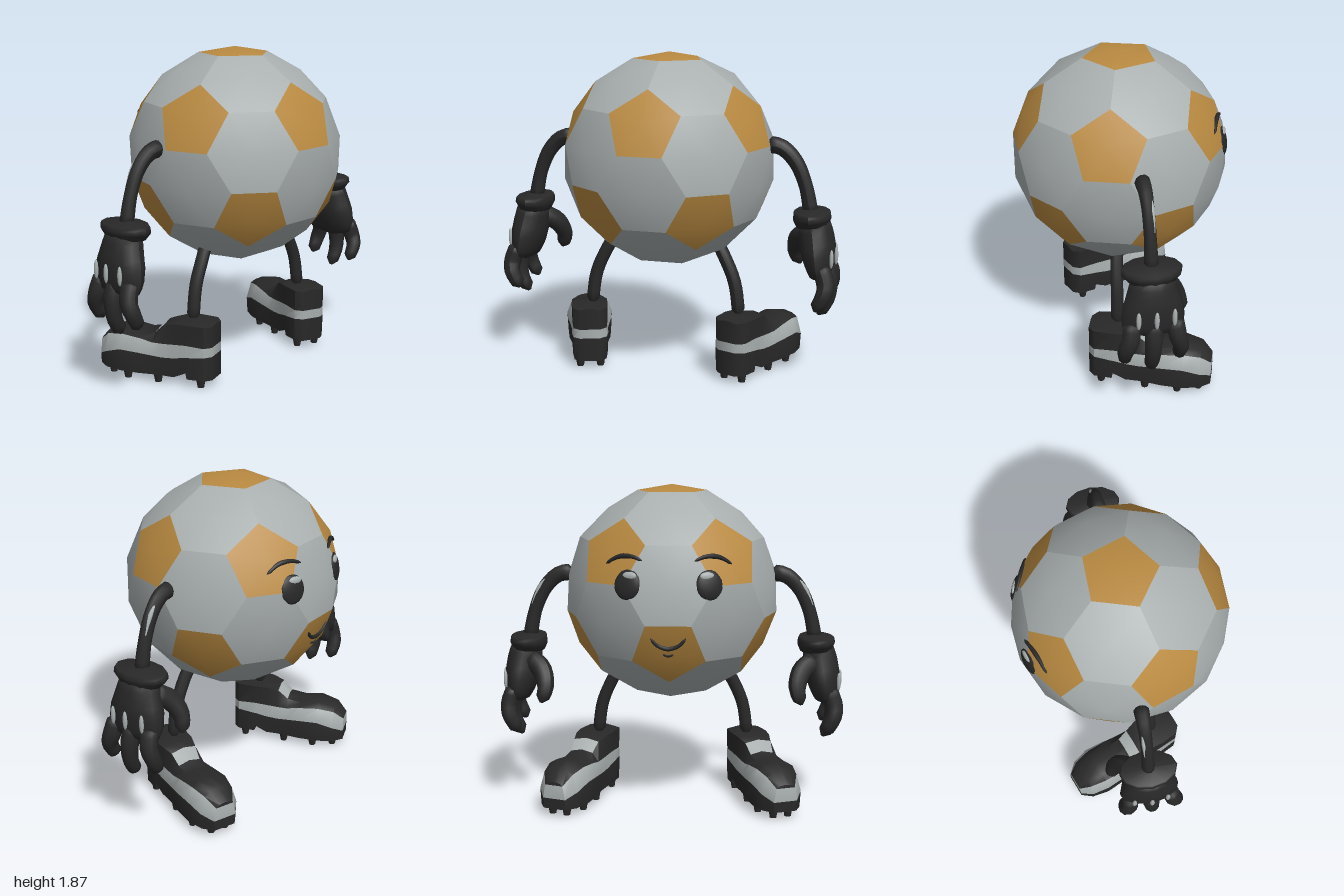
import * as THREE from 'three';
import { mergeGeometries, toCreasedNormals } from 'three/addons/utils/BufferGeometryUtils.js';

const V = (x, y, z) => new THREE.Vector3(x, y, z);
const R = 0.618, CENTRE = V(0, 1.25, 0);

function material(name, color) {
  const m = new THREE.MeshStandardMaterial({ color });
  m.name = name;
  return m;
}

function add(parent, name, geometry, mat) {
  const mesh = new THREE.Mesh(geometry, mat);
  mesh.name = name;
  parent.add(mesh);
  return mesh;
}

// Closed tube along points; radii are [in-plane, z] pairs spread evenly along it
function limb(points, radii, segments = 12, sides = 10) {
  const curve = new THREE.CatmullRomCurve3(points);
  const geo = new THREE.TubeGeometry(curve, segments, 1, sides);
  const pos = geo.attributes.position;
  for (let i = 0; i <= segments; i++) {
    const c = curve.getPointAt(i / segments);
    const f = (i / segments) * (radii.length - 1);
    const k = Math.min(Math.floor(f), radii.length - 2);
    const end = i === 0 || i === segments ? 0.25 : 1;
    const [rx, rz] = [0, 1].map((a) => end * THREE.MathUtils.lerp(radii[k][a], radii[k + 1][a], f - k));
    for (let j = 0; j <= sides; j++) {
      const n = i * (sides + 1) + j;
      pos.setXYZ(n, c.x + (pos.getX(n) - c.x) * rx, c.y + (pos.getY(n) - c.y) * rx, c.z + (pos.getZ(n) - c.z) * rz);
    }
  }
  // Close both ends with fans
  const index = Array.from(geo.index.array);
  const last = segments * (sides + 1);
  for (let j = 1; j < sides - 1; j++) {
    index.push(0, j, j + 1, last, last + j + 1, last + j);
  }
  geo.setIndex(index);
  geo.computeVertexNormals();
  return geo;
}

// One ball panel: a shallow fan with its middle on the sphere
function panel(middle, corners) {
  const n = middle.clone().normalize();
  const u = corners[0].clone().projectOnPlane(n).normalize();
  const w = n.clone().cross(u);
  const ring = corners.map((p) => p.clone().normalize())
    .sort((a, b) => Math.atan2(a.dot(w), a.dot(u)) - Math.atan2(b.dot(w), b.dot(u)));
  const geo = new THREE.BufferGeometry().setFromPoints(
    [n, ...ring].map((p) => p.clone().multiplyScalar(R).add(CENTRE)));
  geo.setIndex(ring.flatMap((_, i) => [0, i + 1, ((i + 1) % ring.length) + 1]));
  geo.computeVertexNormals();
  return geo;
}

function buildBall(root, grey, gold) {
  const v = [V(0, 1, 0), V(0, -1, 0)];
  for (let k = 0; k < 5; k++) {
    for (const [offset, y] of [[0, 1], [0.5, -1]]) {
      const a = ((k + offset) * Math.PI * 2) / 5;
      v.push(V(Math.sin(a) * 2, y, Math.cos(a) * 2).divideScalar(Math.sqrt(5)));
    }
  }
  const near = (a, b) => a !== b && a.dot(b) > 0.4;
  const third = (a, b) => a.clone().lerp(b, 1 / 3);
  const pentagons = v.map((a) => panel(a, v.filter((b) => near(a, b)).map((b) => third(a, b))));
  const hexagons = [];
  for (let i = 0; i < 12; i++) for (let j = i + 1; j < 12; j++) for (let k = j + 1; k < 12; k++) {
    const [a, b, c] = [v[i], v[j], v[k]];
    if (near(a, b) && near(b, c) && near(a, c)) {
      hexagons.push(panel(a.clone().add(b).add(c),
        [third(a, b), third(b, a), third(b, c), third(c, b), third(c, a), third(a, c)]));
    }
  }
  add(root, 'ballPentagons', mergeGeometries(pentagons), gold);
  add(root, 'ballHexagons', mergeGeometries(hexagons), grey);
}

// Point on the face side of the ball
const onFace = (x, y, r = 0.612) => V(x, y, -Math.sqrt(r * r - x * x - (y - 1.25) ** 2));

function buildFace(root, black, grey) {
  const line = (name, pts, r) => add(root, name,
    limb(pts.map(([x, y]) => onFace(x, y)), [[r * 0.6, r * 0.6], [r, r], [r * 0.6, r * 0.6]], 12, 8), black);
  for (const s of [1, -1]) {
    const eye = new THREE.Group();
    eye.name = s > 0 ? 'leftEye' : 'rightEye';
    eye.position.copy(onFace(s * 0.22, 1.36, 0.595));
    eye.lookAt(eye.position.clone().multiplyScalar(2).sub(CENTRE));
    add(eye, 'eyeball', new THREE.SphereGeometry(1, 20, 12).scale(0.078, 0.083, 0.026), black);
    add(eye, 'eyeHighlight', new THREE.SphereGeometry(1, 14, 8).scale(0.042, 0.022, 0.012), grey)
      .position.set(s * 0.015, 0.048, 0.014);
    root.add(eye);
    line('eyebrow', [[s * 0.14, 1.49], [s * 0.2, 1.51], [s * 0.27, 1.505], [s * 0.34, 1.465]], 0.014);
  }
  line('smile', [[-0.095, 1.075], [-0.06, 1.035], [0, 1.015], [0.06, 1.035], [0.095, 1.075]], 0.013);
  line('chinLine', [[-0.028, 0.982], [0, 0.975], [0.028, 0.982]], 0.01);
}

function buildArm(root, s, black, grey) {
  const arm = new THREE.Group();
  arm.name = s > 0 ? 'leftArm' : 'rightArm';
  const path = [[0.57, 1.36], [0.66, 1.345], [0.74, 1.27], [0.8, 1.14], [0.84, 0.96]];
  add(arm, 'sleeve', limb(path.map(([x, y]) => V(s * x, y, 0)),
    [[0.05, 0.045], [0.045, 0.035], [0.04, 0.034], [0.044, 0.04]], 16), black);
  add(arm, 'armStripe', limb(path.slice(1, 4).map(([x, y]) => V(s * (x + 0.022), y + 0.014, -0.016)),
    [[0.008, 0.008], [0.015, 0.014], [0.008, 0.008]]), grey);
  add(arm, 'gloveCuff', limb([V(s * 0.845, 1, 0), V(s * 0.845, 0.95, 0), V(s * 0.85, 0.895, 0)],
    [[0.095, 0.15], [0.107, 0.165], [0.11, 0.165], [0.1, 0.14], [0.09, 0.12]], 8, 12), black);
  add(arm, 'glovePalm', limb([V(s * 0.85, 0.95, 0), V(s * 0.87, 0.85, 0), V(s * 0.893, 0.7, 0), V(s * 0.91, 0.59, 0)],
    [[0.085, 0.11], [0.1, 0.135], [0.102, 0.165], [0.085, 0.175], [0.05, 0.14]], 10, 14), black);
  for (const [z0, z1, tip] of [[0.115, 0.155, 0.44], [0, 0.01, 0.38], [-0.11, -0.145, 0.435]]) {
    add(arm, 'finger', limb(
      [V(s * 0.915, 0.7, z0), V(s * 0.95, 0.59, (z0 + z1) / 2), V(s * 0.945, tip + 0.1, z1), V(s * 0.895, tip, z1)],
      [[0.05, 0.05], [0.052, 0.05], [0.046, 0.044], [0.038, 0.034]], 10), black);
  }
  add(arm, 'thumb', limb(
    [V(s * 0.84, 0.86, -0.06), V(s * 0.755, 0.8, -0.12), V(s * 0.727, 0.71, -0.175), V(s * 0.752, 0.62, -0.2)],
    [[0.06, 0.06], [0.06, 0.055], [0.052, 0.046], [0.036, 0.034]], 10), black);
  for (const z of [0.095, 0, -0.1]) {
    add(arm, 'gloveMark', new THREE.SphereGeometry(1, 10, 8).scale(0.012, 0.055, 0.014), grey)
      .position.set(s * (0.988 - z * z * 1.6), 0.735, z);
  }
  root.add(arm);
}

// Boot shell: cross-sections from heel to toe
// [s, bottom, sole half-width, stripe low, upper half-width, stripe high, top half-width, shoulder, top]
const BOOT = [
  [0.15, 0.05, 0.06, 0.19, 0.06, 0.245, 0.06, 0.365, 0.375],
  [0.115, 0.05, 0.1, 0.19, 0.098, 0.245, 0.1, 0.37, 0.38],
  [0.012, 0.05, 0.11, 0.18, 0.105, 0.25, 0.108, 0.37, 0.38],
  [0.004, 0.085, 0.11, 0.18, 0.105, 0.25, 0.108, 0.37, 0.38],
  [-0.07, 0.05, 0.11, 0.165, 0.105, 0.245, 0.1, 0.365, 0.375],
  [-0.14, 0.05, 0.112, 0.16, 0.105, 0.24, 0.08, 0.345, 0.36],
  [-0.2, 0.05, 0.12, 0.165, 0.108, 0.24, 0.07, 0.29, 0.305],
  [-0.28, 0.05, 0.135, 0.175, 0.112, 0.255, 0.07, 0.275, 0.285],
  [-0.4, 0.05, 0.142, 0.18, 0.11, 0.265, 0.07, 0.29, 0.3],
  [-0.5, 0.05, 0.12, 0.145, 0.09, 0.245, 0.055, 0.265, 0.275],
  [-0.56, 0.05, 0.07, 0.11, 0.055, 0.19, 0.035, 0.205, 0.21],
];

function bootGeometry() {
  const pts = [], tris = [[], []];
  for (const [s, b, w, lo, wh, hi, wt, sh, top] of BOOT) {
    const half = [[w * 0.95, b], [w, lo], [wh, hi], [wt, sh]];
    for (const [x, y] of half) pts.push(V(x, y, s));
    pts.push(V(0, top, s));
    for (const [x, y] of half.reverse()) pts.push(V(-x, y, s));
  }
  const striped = (j) => (j === 1 || j === 6 ? 1 : 0);
  for (let i = 0; i < BOOT.length - 1; i++) for (let j = 0; j < 9; j++) {
    const a = i * 9 + j, b = i * 9 + ((j + 1) % 9), c = b + 9, d = a + 9;
    const tongue = i === 5 && (j === 3 || j === 4);
    tris[tongue ? 1 : striped(j)].push(a, d, c, a, c, b);
  }
  // Heel and toe ends
  const e = (BOOT.length - 1) * 9;
  for (let k = 0; k < 4; k++) {
    const a = k, b = k + 1, c = 7 - k, d = 8 - k;
    tris[striped(k)].push(a, b, c, a, c, d, e + a, e + c, e + b, e + a, e + d, e + c);
  }
  const geo = new THREE.BufferGeometry().setFromPoints(pts);
  geo.setIndex([...tris[0], ...tris[1]]);
  geo.addGroup(0, tris[0].length, 0);
  geo.addGroup(tris[0].length, tris[1].length, 1);
  return toCreasedNormals(geo, 0.75);
}

function buildLeg(root, s, black, grey) {
  const leg = new THREE.Group();
  leg.name = s > 0 ? 'leftLeg' : 'rightLeg';
  add(leg, 'shin', limb([V(s * 0.29, 0.82, 0.07), V(s * 0.355, 0.71, 0.09), V(s * 0.42, 0.56, 0.1), V(s * 0.45, 0.36, 0.105)],
    [[0.038, 0.036], [0.038, 0.036]]), black);
  // Boot turned outwards, with studs under the sole
  const boot = new THREE.Group();
  boot.name = 'boot';
  boot.position.set(s * 0.465, 0, 0.115);
  boot.rotation.y = -s * 0.35;
  add(boot, 'bootShell', bootGeometry(), [black, grey]);
  for (const [x, z] of [[0.06, 0.08], [0.08, -0.18], [0.09, -0.37], [0.045, -0.49]]) {
    for (const m of [1, -1]) {
      add(boot, 'stud', new THREE.CylinderGeometry(0.03, 0.02, 0.06, 8), black).position.set(m * x, 0.03, z);
    }
  }
  leg.add(boot);
  root.add(leg);
}

export function createModel() {
  const root = new THREE.Group();
  root.name = 'footballFigure';
  const grey = material('lightGrey', 0xa9afaf);
  const gold = material('gold', 0xb98a41);
  const black = material('black', 0x282828);
  buildBall(root, grey, gold);
  buildFace(root, black, grey);
  for (const s of [1, -1]) {
    buildArm(root, s, black, grey);
    buildLeg(root, s, black, grey);
  }
  return root;
}
